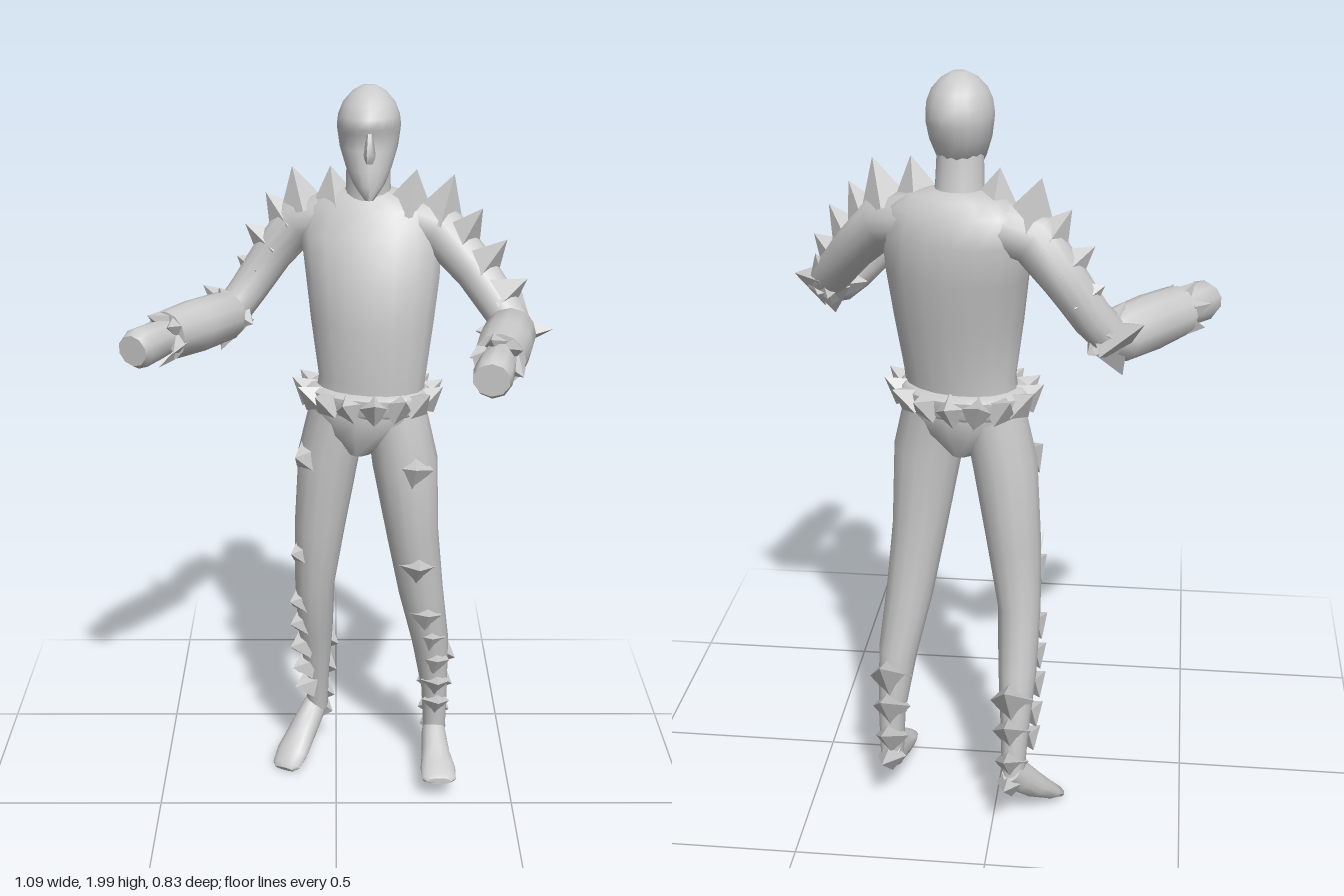
import * as THREE from 'three';
import { toCreasedNormals } from 'three/addons/utils/BufferGeometryUtils.js';

const V = (p) => new THREE.Vector3(...p);
const smooth = new THREE.MeshStandardMaterial({ color: 0xcccccc });
const faceted = new THREE.MeshStandardMaterial({ color: 0xcccccc, flatShading: true });
const YAW = [0.957, 0, 0.29]; // the body's own sideways direction

// Skin elliptical rings [x, y, z, halfWidth, halfDepth] along a path, capped at both ends.
// level keeps every ring horizontal.
function loft(rings, side, { n = 14, level = false, crease = 0.9 } = {}) {
  const pos = [], idx = [], c = rings.map((r) => V(r.slice(0, 3)));
  rings.forEach((r, i) => {
    const t = level ? new THREE.Vector3(0, 1, 0)
      : c[Math.min(i + 1, c.length - 1)].clone().sub(c[Math.max(i - 1, 0)]).normalize();
    const u = V(side).addScaledVector(t, -V(side).dot(t)).normalize();
    const v = u.clone().cross(t);
    for (let j = 0; j < n; j++) {
      const a = (j / n) * Math.PI * 2;
      const p = c[i].clone().addScaledVector(u, r[3] * Math.cos(a)).addScaledVector(v, r[4] * Math.sin(a));
      pos.push(p.x, p.y, p.z);
    }
  });
  const last = (rings.length - 1) * n, capA = rings.length * n;
  pos.push(...c[0].toArray(), ...c[c.length - 1].toArray());
  for (let j = 0; j < n; j++) {
    const k = (j + 1) % n;
    for (let i = 0; i < last; i += n) idx.push(i + j, i + n + j, i + k, i + k, i + n + j, i + n + k);
    idx.push(capA, j, k, capA + 1, last + k, last + j);
  }
  const g = new THREE.BufferGeometry();
  g.setAttribute('position', new THREE.Float32BufferAttribute(pos, 3));
  g.setIndex(idx);
  return toCreasedNormals(g, crease);
}

// Four-sided pyramid from base to tip.
function spike(base, tip, r) {
  const b = V(base), d = V(tip).sub(b), h = d.length();
  const g = new THREE.ConeGeometry(r, h, 4);
  g.translate(0, h / 2, 0);
  const m = new THREE.Mesh(g, faceted);
  m.position.copy(b);
  m.quaternion.setFromUnitVectors(new THREE.Vector3(0, 1, 0), d.normalize());
  return m;
}

export function createModel() {
  const root = new THREE.Group();
  const add = (name, geo) => {
    const m = new THREE.Mesh(geo, smooth);
    m.name = name;
    root.add(m);
  };
  const spikes = (name, list) => {
    const g = new THREE.Group();
    g.name = name;
    list.forEach(([b, t, r]) => g.add(spike(b, t, r)));
    root.add(g);
  };

  // Torso, hips and neck
  add('torso', loft([
    [0.085, 1.16, -0.15, 0.15, 0.1], [0.095, 1.25, -0.15, 0.145, 0.105], [0.095, 1.4, -0.165, 0.165, 0.128],
    [0.095, 1.52, -0.185, 0.18, 0.13], [0.09, 1.62, -0.215, 0.19, 0.118], [0.09, 1.69, -0.228, 0.175, 0.09],
    [0.085, 1.72, -0.228, 0.12, 0.07], [0.085, 1.735, -0.228, 0.06, 0.055]], YAW, { n: 18, level: true, crease: 1.2 }));
  add('hips', loft([
    [0.075, 1.045, -0.15, 0.04, 0.075], [0.08, 1.1, -0.15, 0.115, 0.102],
    [0.085, 1.16, -0.15, 0.16, 0.115], [0.085, 1.2, -0.15, 0.155, 0.112]], YAW, { n: 16, level: true }));
  add('neck', loft([
    [0.085, 1.66, -0.22, 0.075, 0.065], [0.083, 1.74, -0.21, 0.058, 0.055], [0.082, 1.83, -0.195, 0.055, 0.06]],
    [1, 0, 0], { level: true }));

  // Head: rows of height, half width, back z, front z
  const skull = [
    [1.73, 0.012, -0.11, -0.08], [1.765, 0.04, -0.17, -0.074], [1.8, 0.058, -0.25, -0.078],
    [1.85, 0.074, -0.28, -0.085], [1.89, 0.08, -0.292, -0.093], [1.905, 0.081, -0.293, -0.08],
    [1.93, 0.078, -0.29, -0.085], [1.96, 0.066, -0.272, -0.108], [1.985, 0.044, -0.245, -0.14], [2, 0.018, -0.21, -0.175]];
  add('head', loft(skull.map(([y, w, b, f]) => [0.083, y, (b + f) / 2, w, (f - b) / 2]),
    [1, 0, 0], { n: 16, level: true, crease: 1.1 }));
  add('nose', loft([
    [0.083, 1.895, -0.1, 0.008, 0.012], [0.083, 1.845, -0.083, 0.015, 0.018], [0.083, 1.825, -0.09, 0.012, 0.012]],
    [1, 0, 0], { n: 6 }));

  // Belt with a ring of outward spikes
  add('belt', loft([
    [0.085, 1.165, -0.155, 0.162, 0.118], [0.085, 1.175, -0.155, 0.17, 0.125],
    [0.085, 1.215, -0.155, 0.168, 0.125], [0.087, 1.225, -0.155, 0.155, 0.11]], YAW, { n: 18, level: true }));
  const around = (a, b, y, t) => [
    0.085 + YAW[0] * a * Math.cos(t) - YAW[2] * b * Math.sin(t), y,
    -0.155 + YAW[2] * a * Math.cos(t) + YAW[0] * b * Math.sin(t)];
  spikes('beltSpikes', Array.from({ length: 15 }, (_, i) => {
    const t = (i / 15) * Math.PI * 2;
    return [around(0.15, 0.11, 1.19, t), around(0.205, 0.168, 1.21 + 0.025 * Math.abs(Math.cos(t)), t), 0.045];
  }));

  // Legs and feet
  add('leftLeg', loft([
    [0.155, 1.18, -0.135, 0.08, 0.09], [0.185, 1.02, -0.115, 0.088, 0.09], [0.21, 0.8, -0.13, 0.071, 0.08],
    [0.237, 0.62, -0.145, 0.062, 0.065], [0.268, 0.45, -0.175, 0.052, 0.062], [0.285, 0.28, -0.2, 0.037, 0.045],
    [0.288, 0.14, -0.205, 0.032, 0.036]], [1, 0, 0]));
  add('rightLeg', loft([
    [0.015, 1.18, -0.17, 0.08, 0.09], [-0.02, 1.02, -0.18, 0.083, 0.09], [-0.045, 0.8, -0.195, 0.07, 0.08],
    [-0.06, 0.62, -0.205, 0.056, 0.065], [-0.06, 0.45, -0.25, 0.05, 0.06], [-0.057, 0.28, -0.295, 0.036, 0.045],
    [-0.055, 0.16, -0.31, 0.03, 0.036]], [1, 0, 0]));
  add('leftFoot', loft([
    [0.286, 0.17, -0.225, 0.025, 0.03], [0.286, 0.135, -0.19, 0.035, 0.045], [0.289, 0.105, -0.13, 0.04, 0.036],
    [0.293, 0.085, -0.07, 0.05, 0.025], [0.294, 0.078, -0.025, 0.048, 0.018], [0.294, 0.078, -0.012, 0.035, 0.01]], [1, 0, 0]));
  add('rightFoot', loft([
    [-0.052, 0.19, -0.33, 0.025, 0.03], [-0.07, 0.15, -0.295, 0.035, 0.042], [-0.1, 0.1, -0.255, 0.042, 0.036],
    [-0.13, 0.055, -0.21, 0.05, 0.026], [-0.147, 0.03, -0.178, 0.044, 0.018], [-0.152, 0.022, -0.168, 0.03, 0.01]],
    [0.85, 0, 0.5]));

  // Leg spikes: height, surface z, tip z, radius down the front; bigger swept ones up the calf
  const front = [[1.02, -0.05, 0, 0.055], [0.72, -0.085, -0.02, 0.05], [0.56, -0.11, -0.062, 0.046],
    [0.48, -0.13, -0.083, 0.044], [0.4, -0.145, -0.098, 0.044], [0.32, -0.165, -0.11, 0.042], [0.25, -0.175, -0.125, 0.04]];
  const leftX = [0.205, 0.222, 0.25, 0.265, 0.28, 0.285, 0.288];
  const rightX = [-0.07, -0.085, -0.09, -0.09, -0.09, -0.085, -0.08];
  spikes('leftShinSpikes', front.map(([y, z, tz, r], i) => [[leftX[i], y, z], [leftX[i] + 0.005, y + 0.015, tz], r]));
  spikes('rightShinSpikes', front.map(([y, z, , r], i) =>
    [[rightX[i], y, z - 0.09], [rightX[i] - 0.04, y + 0.015, z - 0.045], r]));
  for (const [name, x, z] of [['left', 0.285, -0.2], ['right', -0.05, -0.285]]) {
    spikes(name + 'CalfSpikes', [0.38, 0.29, 0.2, 0.14].map((y, i) =>
      [[x, y, z - i * 0.008], [x + 0.01, y + [0.09, 0.08, 0.07, 0.04][i], z - 0.11 - Math.min(i, 2) * 0.008], 0.058 - i * 0.006]));
  }

  // Arms: upper arm, forearm with wide cuff, hand
  const arms = {
    right: {
      upper: [[-0.01, 1.655, -0.255, 0.065, 0.07], [-0.1, 1.635, -0.28, 0.065, 0.062], [-0.17, 1.545, -0.288, 0.055, 0.055],
        [-0.235, 1.45, -0.28, 0.05, 0.05], [-0.275, 1.4, -0.255, 0.048, 0.048]],
      elbow: [-0.27, 1.39, -0.265], cuff: [-0.435, 1.39, -0.045], hand: [-0.51, 1.385, 0.07],
      points: [[-0.36, 1.45, -0.32], [-0.31, 1.29, -0.24], [-0.22, 1.38, -0.18], [-0.31, 1.47, -0.22]],
    },
    left: {
      upper: [[0.19, 1.655, -0.2, 0.065, 0.07], [0.275, 1.635, -0.165, 0.065, 0.062], [0.36, 1.545, -0.1, 0.055, 0.055],
        [0.425, 1.46, -0.03, 0.05, 0.05], [0.45, 1.425, 0.005, 0.048, 0.048]],
      elbow: [0.445, 1.42, -0.005], cuff: [0.388, 1.425, 0.265], hand: [0.358, 1.42, 0.405],
      points: [[0.545, 1.43, 0.03], [0.44, 1.33, 0.02], [0.47, 1.51, -0.05], [0.35, 1.42, 0.01]],
    },
  };
  const up = [0, 1, 0];
  for (const [name, a] of Object.entries(arms)) {
    const at = (p, q, t) => V(p).lerp(V(q), t).toArray();
    add(name + 'UpperArm', loft(a.upper, YAW));
    add(name + 'Forearm', loft([[...a.elbow, 0.045, 0.045], [...at(a.elbow, a.cuff, 0.15), 0.066, 0.066],
      [...at(a.elbow, a.cuff, 0.6), 0.07, 0.068], [...a.cuff, 0.064, 0.064]], up, { n: 12 }));
    add(name + 'Hand', loft([[...a.cuff, 0.045, 0.043], [...at(a.cuff, a.hand, 0.4), 0.05, 0.046],
      [...at(a.cuff, a.hand, 0.85), 0.053, 0.048], [...a.hand, 0.04, 0.044]], up, { n: 10 }));
    spikes(name + 'ElbowSpikes', a.points.map((p) => [a.elbow, p, 0.06]));
    // Wrist spikes fan out over the hand
    const dir = V(a.hand).sub(V(a.cuff)).normalize(), out = dir.clone().cross(V(up)).normalize();
    spikes(name + 'WristSpikes', [0, 1, 2, 3, 4, 5].map((i) => {
      const t = (i / 6) * Math.PI * 2 + 0.3;
      const radial = out.clone().multiplyScalar(Math.cos(t)).addScaledVector(V(up), Math.sin(t));
      const c = V(a.cuff);
      return [c.clone().addScaledVector(radial, 0.04).toArray(),
        c.clone().addScaledVector(radial, 0.068).addScaledVector(dir, 0.055).toArray(), 0.028];
    }));
  }

  // Spikes over the shoulders and down the upper arms
  spikes('rightShoulderSpikes', [
    [[0.0, 1.69, -0.235], [-0.015, 1.79, -0.235], 0.065], [[-0.085, 1.67, -0.27], [-0.115, 1.78, -0.28], 0.065],
    [[-0.125, 1.63, -0.28], [-0.185, 1.71, -0.285], 0.06], [[-0.165, 1.565, -0.285], [-0.24, 1.625, -0.285], 0.058],
    [[-0.205, 1.5, -0.285], [-0.265, 1.535, -0.3], 0.055]]);
  spikes('leftShoulderSpikes', [
    [[0.185, 1.69, -0.18], [0.205, 1.795, -0.16], 0.065], [[0.265, 1.67, -0.17], [0.3, 1.785, -0.145], 0.065],
    [[0.315, 1.62, -0.135], [0.37, 1.71, -0.09], 0.06], [[0.365, 1.56, -0.09], [0.43, 1.64, -0.05], 0.058],
    [[0.415, 1.5, -0.04], [0.48, 1.55, -0.01], 0.055]]);

  return root;
}
